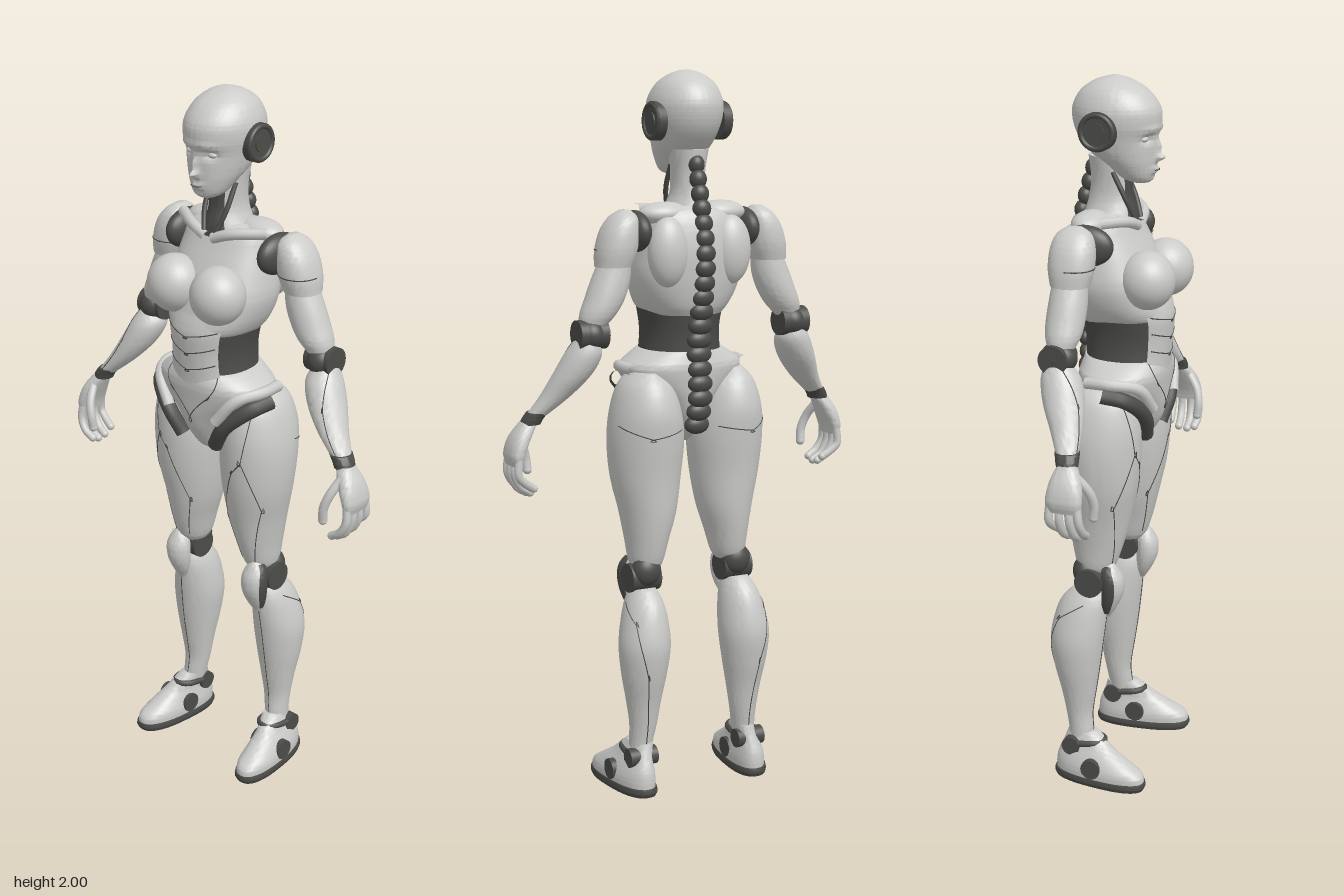
import * as THREE from 'three';
import { toCreasedNormals } from 'three/addons/utils/BufferGeometryUtils.js';

const shell = new THREE.MeshStandardMaterial({ color: 0xcbcbc9 });
shell.name = 'shell grey';
const joint = new THREE.MeshStandardMaterial({ color: 0x4b4b48 });
joint.name = 'joint charcoal';

const V = (x, y, z) => new THREE.Vector3(x, y, z);
// centred section: height, half width, back z, front z
const C = (y, h, b, f) => [y, -h, h, b, f];

// Catmull-Rom interpolation of sections [y, xIn, xOut, zBack, zFront]
function sample(S, u) {
  const i = Math.min(Math.floor(u), S.length - 2), t = u - i;
  const g = k => S[Math.max(0, Math.min(S.length - 1, k))];
  const [a, b, c, d] = [g(i - 1), g(i), g(i + 1), g(i + 2)];
  return b.map((_, k) => 0.5 * (2 * b[k] + (c[k] - a[k]) * t + (2 * a[k] - 5 * b[k] + 4 * c[k] - d[k]) * t * t
    + (3 * b[k] - a[k] - 3 * c[k] + d[k]) * t * t * t));
}

// Point on a lofted surface; angle 0 is the outer side, PI/2 the front
function surf(S, u, a, s = 1, off = 0, e = 1) {
  const [y, x0, x1, z0, z1] = sample(S, u);
  const p = v => Math.sign(v) * Math.abs(v) ** e;
  return V(s * ((x0 + x1) / 2 + ((x1 - x0) / 2 + off) * p(Math.cos(a))), y, (z0 + z1) / 2 + ((z1 - z0) / 2 + off) * p(Math.sin(a)));
}

// Loft of rings, sections listed from bottom to top; a partial one makes a surface patch
function loft(S, { s = 1, e = 1, off = 0, u0 = 0, u1 = S.length - 1, a0 = 0, a1 = Math.PI * 2, n = 36, rows = 6, warp } = {}) {
  const full = a1 - a0 > 6.28, m = Math.ceil((u1 - u0) * rows), w = full ? n : n + 1;
  const pos = [], idx = [];
  const put = p => { if (warp) warp(p); pos.push(p.x, p.y, p.z); };
  for (let j = 0; j <= m; j++)
    for (let i = 0; i < w; i++) put(surf(S, u0 + (u1 - u0) * j / m, a0 + (a1 - a0) * i / n, s, off, e));
  const tri = (a, b, c) => (s > 0 ? idx.push(a, b, c) : idx.push(a, c, b));
  for (let j = 0; j < m; j++)
    for (let i = 0; i < n; i++) {
      const a = j * w + i, b = j * w + (i + 1) % w;
      tri(a, a + w, b);
      tri(b, a + w, b + w);
    }
  if (full) {
    for (const j of [0, m]) {
      const [y, x0, x1, z0, z1] = sample(S, j ? u1 : u0), k = pos.length / 3;
      put(V(s * (x0 + x1) / 2, y, (z0 + z1) / 2));
      for (let i = 0; i < n; i++) {
        const a = j * w + i, b = j * w + (i + 1) % n;
        if (j) tri(a, k, b); else tri(a, b, k);
      }
    }
  }
  const g = new THREE.BufferGeometry();
  g.setAttribute('position', new THREE.Float32BufferAttribute(pos, 3));
  g.setIndex(idx);
  return toCreasedNormals(g, 0.9);
}

const ball = (x, y, z, rx, ry = rx, rz = rx) => new THREE.SphereGeometry(1, 28, 20).scale(rx, ry, rz).translate(x, y, z);
const disc = (x, y, z, r, w) => new THREE.CylinderGeometry(r, r, w, 32).rotateZ(Math.PI / 2).translate(x, y, z);
const tube = (pts, r, n = 14, k = 10) => new THREE.TubeGeometry(new THREE.CatmullRomCurve3(pts), n, r, k);
// Thin panel line following a loft through [section, angle] pairs
const seam = (S, pts, s = 1, e = 1) => {
  const out = [];
  for (let i = 0; i < pts.length - 1; i++)
    for (let t = 0; t < 1; t += 0.1)
      out.push(surf(S, pts[i][0] + (pts[i + 1][0] - pts[i][0]) * t, pts[i][1] + (pts[i + 1][1] - pts[i][1]) * t, s, 0, e));
  return tube(out, 0.0016, out.length * 2, 4);
};

const HEAD = [C(1.722, 0.025, 0.02, 0.07), C(1.735, 0.045, -0.01, 0.082), C(1.77, 0.066, -0.055, 0.088), C(1.80, 0.079, -0.095, 0.09),
  C(1.84, 0.09, -0.127, 0.092), C(1.88, 0.099, -0.142, 0.1), C(1.92, 0.098, -0.142, 0.096), C(1.96, 0.08, -0.12, 0.066),
  C(1.985, 0.052, -0.085, 0.026), C(1.997, 0.023, -0.05, -0.01), C(2.0, 0.003, -0.032, -0.026)];
const NECK = [C(1.60, 0.085, -0.12, 0.035), C(1.64, 0.06, -0.11, 0.03), C(1.68, 0.046, -0.1, 0.018), C(1.73, 0.046, -0.095, 0.015), C(1.79, 0.055, -0.1, 0.01)];
const CHEST = [C(1.345, 0.105, -0.115, 0.12), C(1.37, 0.126, -0.128, 0.13), C(1.41, 0.146, -0.138, 0.12), C(1.46, 0.157, -0.145, 0.105), C(1.52, 0.15, -0.148, 0.08),
  C(1.58, 0.138, -0.14, 0.05), C(1.62, 0.125, -0.125, 0.03), C(1.64, 0.08, -0.105, 0.01)];
const WAIST = [C(1.18, 0.13, -0.1, 0.12), C(1.24, 0.111, -0.102, 0.123), C(1.30, 0.106, -0.105, 0.127), C(1.36, 0.116, -0.112, 0.13), C(1.41, 0.13, -0.12, 0.115)];
const PELVIS = [C(0.985, 0.012, -0.03, 0.03), C(1.01, 0.032, -0.06, 0.07), C(1.06, 0.058, -0.09, 0.105), C(1.11, 0.095, -0.105, 0.12),
  C(1.16, 0.155, -0.112, 0.125), C(1.20, 0.176, -0.115, 0.128), C(1.225, 0.15, -0.11, 0.126), C(1.245, 0.118, -0.105, 0.12)];
const THIGH = [[0.638, 0.095, 0.168, -0.08, 0.005], [0.66, 0.082, 0.178, -0.094, 0.02], [0.72, 0.066, 0.186, -0.108, 0.04], [0.8, 0.042, 0.2, -0.12, 0.06],
  [0.9, 0.026, 0.222, -0.128, 0.08], [1.0, 0.018, 0.23, -0.14, 0.088], [1.08, 0.03, 0.222, -0.145, 0.085], [1.15, 0.055, 0.2, -0.125, 0.065], [1.19, 0.1, 0.165, -0.09, 0.03]];
const KNEECAP = [[0.505, 0.14, 0.155, -0.015, 0.008], [0.54, 0.12, 0.172, -0.015, 0.03], [0.58, 0.11, 0.182, -0.015, 0.047], [0.62, 0.11, 0.184, -0.015, 0.048],
  [0.65, 0.12, 0.175, -0.015, 0.034], [0.67, 0.14, 0.155, -0.01, 0.02]];
const SHIN = [[0.09, 0.14, 0.2, -0.105, -0.04], [0.14, 0.132, 0.198, -0.108, -0.036], [0.2, 0.121, 0.2, -0.118, -0.04], [0.27, 0.11, 0.21, -0.132, -0.03],
  [0.35, 0.096, 0.224, -0.152, -0.018], [0.43, 0.086, 0.23, -0.163, -0.008], [0.5, 0.09, 0.217, -0.152, 0.0], [0.55, 0.1, 0.2, -0.132, 0.002], [0.585, 0.115, 0.18, -0.1, -0.01]];
const SOLE = [[0, 0.138, 0.24, -0.145, 0.128], [0.012, 0.134, 0.244, -0.15, 0.134], [0.024, 0.136, 0.242, -0.148, 0.132]];
const FOOT = [[0.022, 0.138, 0.24, -0.144, 0.13], [0.045, 0.137, 0.24, -0.144, 0.124], [0.07, 0.142, 0.232, -0.14, 0.085], [0.1, 0.148, 0.218, -0.128, 0.035],
  [0.125, 0.145, 0.208, -0.118, 0.005], [0.145, 0.143, 0.2, -0.112, -0.02]];
const PAD = [[1.485, 0.19, 0.287, -0.118, -0.014], [1.53, 0.174, 0.284, -0.127, -0.004], [1.58, 0.168, 0.268, -0.125, -0.005], [1.615, 0.172, 0.243, -0.112, -0.018], [1.634, 0.19, 0.215, -0.085, -0.045]];
const UPPER_ARM = [[1.325, 0.268, 0.338, -0.1, -0.035], [1.36, 0.235, 0.335, -0.115, -0.02], [1.4, 0.21, 0.32, -0.12, -0.016], [1.45, 0.193, 0.3, -0.118, -0.016], [1.51, 0.19, 0.272, -0.112, -0.022]];
const FOREARM = [[1.085, 0.415, 0.468, -0.025, 0.03], [1.14, 0.35, 0.432, -0.062, 0.024], [1.2, 0.298, 0.402, -0.098, 0.013], [1.255, 0.275, 0.375, -0.113, -0.005], [1.295, 0.29, 0.35, -0.105, -0.035]];
const WRIST = [[1.065, 0.425, 0.482, -0.022, 0.036], [1.08, 0.418, 0.476, -0.027, 0.036], [1.097, 0.405, 0.464, -0.033, 0.034]];
const PALM = [[0.955, 0.487, 0.513, -0.03, 0.058], [0.985, 0.478, 0.52, -0.036, 0.064], [1.03, 0.456, 0.508, -0.03, 0.056], [1.072, 0.434, 0.48, -0.015, 0.033]];

// Facial relief: x, y, depth, spread in x, spread in y
const RELIEF = [[0.038, 1.842, -0.013, 0.017, 0.011], [-0.038, 1.842, -0.013, 0.017, 0.011], [0, 1.79, 0.023, 0.009, 0.011], [0, 1.818, 0.013, 0.008, 0.02],
  [0.035, 1.866, 0.005, 0.03, 0.008], [-0.035, 1.866, 0.005, 0.03, 0.008], [0, 1.757, 0.009, 0.02, 0.008], [0, 1.741, -0.003, 0.02, 0.004]];
const sculptFace = p => {
  if (p.z < 0.01) return;
  const fade = Math.min(1, (p.z - 0.01) / 0.04);
  for (const [x, y, d, sx, sy] of RELIEF) p.z += fade * d * Math.exp(-(((p.x - x) / sx) ** 2) - ((p.y - y) / sy) ** 2);
};

export function createModel() {
  const model = new THREE.Group();
  model.name = 'humanoidRobot';
  const add = (name, geo, mat) => {
    const m = new THREE.Mesh(geo, mat);
    m.name = name;
    model.add(m);
  };
  const F = Math.PI / 2;

  // head and neck
  add('head', loft(HEAD, { n: 96, rows: 10, warp: sculptFace }), shell);
  add('neck', loft(NECK), shell);
  add('throat', loft(NECK, { u0: 0.2, u1: 3.6, a0: F - 0.6, a1: F + 0.6, off: 0.005, n: 12 }), joint);
  add('mouthLine', tube([V(-0.018, 1.757, 0.09), V(0, 1.757, 0.0975), V(0.018, 1.757, 0.09)], 0.0013), joint);

  // torso
  add('chest', loft(CHEST, { e: 0.85, n: 48 }), shell);
  add('waistCore', loft(WAIST, { e: 0.9, n: 48 }), joint);
  add('bellyPlate', loft(WAIST, { e: 0.9, off: 0.006, u0: 0.4, u1: 4, a0: F - 0.82, a1: F + 0.82, n: 24 }), shell);
  for (const u of [1.2, 2, 2.8])
    add('bellySeam', seam(WAIST.map(r => [r[0], r[1] - 0.006, r[2] + 0.006, r[3], r[4] + 0.006]), [[u + 0.4, F - 0.75], [u, F], [u + 0.4, F + 0.75]], 1, 0.9), joint);
  add('pelvis', loft(PELVIS, { e: 0.9, n: 48 }), shell);
  add('pelvisSeam', seam(PELVIS, [[6.8, F - 0.7], [4.5, F - 0.35], [3, F], [4.5, F + 0.35], [6.8, F + 0.7]], 1, 0.9), joint);

  // spine of stacked vertebrae, widening to the tail
  const spine = new THREE.CatmullRomCurve3([V(0, 1.75, -0.09), V(0, 1.62, -0.125), V(0, 1.5, -0.143), V(0, 1.36, -0.122), V(0, 1.25, -0.108), V(0, 1.12, -0.116), V(0, 1.04, -0.095)]);
  for (let i = 0; i < 19; i++) {
    const p = spine.getPointAt(i / 18), w = 0.023 + 0.014 * Math.min(1, i / 12);
    add('vertebra', ball(0, p.y, p.z, w, 0.026, 0.022), joint);
  }

  for (const s of [1, -1]) {
    const side = s > 0 ? 'left' : 'right';
    const part = (name, geo, mat = shell) => add(side + name, geo, mat);
    const P = (x, y, z) => V(s * x, y, z);

    // eye and ear disc
    part('Eye', ball(s * 0.037, 1.842, 0.066, 0.015, 0.009, 0.012));
    part('EarDisc', disc(s * 0.098, 1.865, -0.04, 0.052, 0.024), joint);
    part('EarRim', new THREE.TorusGeometry(0.044, 0.007, 8, 32).rotateY(F).translate(s * 0.109, 1.865, -0.04), joint);
    part('EarHub', disc(s * 0.108, 1.865, -0.04, 0.024, 0.012), joint);

    // chest, collar and shoulder blade
    part('Breast', ball(s * 0.078, 1.473, 0.092, 0.077, 0.08, 0.076));
    part('Collarbone', tube([P(0.012, 1.605, 0.04), P(0.07, 1.625, 0.03), P(0.15, 1.632, -0.02)], 0.015));
    part('Trapezius', ball(s * 0.085, 1.62, -0.065, 0.075, 0.032, 0.05));
    part('ShoulderBlade', ball(s * 0.095, 1.52, -0.11, 0.058, 0.095, 0.048));
    part('NeckTendon', tube([P(0.04, 1.75, -0.02), P(0.038, 1.68, 0.015), P(0.018, 1.61, 0.042)], 0.007), joint);

    // arm
    part('ShoulderJoint', ball(s * 0.165, 1.575, -0.05, 0.034, 0.056, 0.078), joint);
    part('ShoulderPad', loft(PAD, { s, e: 0.9 }));
    part('ShoulderSeam', seam(PAD, [[1, 0], [1, F], [1, Math.PI]], s, 0.9), joint);
    part('UpperArm', loft(UPPER_ARM, { s }));
    part('Elbow', ball(s * 0.31, 1.308, -0.07, 0.042, 0.043, 0.05), joint);
    part('ElbowDisc', disc(s * 0.31, 1.308, -0.07, 0.04, 0.082).translate(0, 0, -0.004), joint);
    part('Forearm', loft(FOREARM, { s }));
    part('ForearmSeam', seam(FOREARM, [[0.2, 1.3], [2, 1.1], [3.7, 0.6]], s), joint);
    part('Wrist', loft(WRIST, { s }), joint);
    part('Palm', loft(PALM, { s, e: 0.8 }));
    [-0.024, 0.002, 0.028, 0.051].forEach((z, i) => {
      const d = [0.02, 0.004, 0, 0.008][i];
      part('Finger', tube([P(0.5, 0.975, z), P(0.502, 0.93, z * 1.1), P(0.484, 0.89 + d, z * 1.1 + 0.003), P(0.457, 0.872 + d, z + 0.006)], 0.0115));
      part('Fingertip', ball(s * 0.457, 0.872 + d, z + 0.006, 0.0115));
    });
    part('Thumb', tube([P(0.468, 1.045, 0.035), P(0.452, 1.0, 0.066), P(0.44, 0.96, 0.075), P(0.437, 0.925, 0.072)], 0.0125));
    part('ThumbTip', ball(s * 0.437, 0.925, 0.072, 0.0125));

    // hip and thigh
    part('HipJoint', tube([P(0.19, 1.172, 0.0), P(0.165, 1.155, 0.062), P(0.105, 1.1, 0.094), P(0.06, 1.03, 0.082)], 0.022), joint);
    part('HipPlate', tube([P(0.172, 1.198, -0.05), P(0.178, 1.2, 0.02), P(0.14, 1.185, 0.088), P(0.085, 1.115, 0.112)], 0.016));
    part('Thigh', loft(THIGH, { s, n: 44 }));
    part('ThighSeam', seam(THIGH, [[1.2, 1.1], [3.5, 0.7], [5, 1.3], [7, 1.0]], s), joint);
    part('ThighInnerSeam', seam(THIGH, [[1.2, 2.1], [3, 2.2], [4.6, 1.6], [5, 1.3]], s), joint);
    part('ThighBackSeam', seam(THIGH, [[5.6, 6], [5.2, 5], [5.4, 4]], s), joint);

    // knee and shin
    part('KneeJoint', disc(s * 0.145, 0.613, -0.042, 0.041, 0.088), joint);
    part('KneeBack', ball(s * 0.142, 0.635, -0.065, 0.043, 0.045, 0.036), joint);
    part('KneeFork', loft(KNEECAP, { s, u0: 0.5, u1: 4.6, off: 0.005, a0: -0.6, a1: 0.5, n: 8 }), joint);
    part('Kneecap', loft(KNEECAP, { s }));
    part('Shin', loft(SHIN, { s, n: 44 }));
    part('ShinSeam', seam(SHIN, [[0.8, F], [6.6, F]], s), joint);
    part('CalfSeam', seam(SHIN, [[1, -F], [4, -1.3], [6, -0.7], [7, 0.2]], s), joint);

    // foot, toes turned slightly out
    const toeOut = p => { p.x += s * p.z * 0.1; };
    part('Sole', loft(SOLE, { s, e: 0.8, warp: toeOut }), joint);
    part('Foot', loft(FOOT, { s, e: 0.85, warp: toeOut }));
    part('AnkleBand', tube([P(0.135, 0.115, -0.07), P(0.145, 0.12, -0.02), P(0.172, 0.122, 0.0), P(0.198, 0.12, -0.02), P(0.208, 0.115, -0.07)], 0.009), joint);
    part('AnkleDisc', disc(s * 0.172, 0.105, -0.09, 0.027, 0.084), joint);
    part('ArchDisc', disc(s * 0.187, 0.055, -0.02, 0.029, 0.108), joint);
  }
  return model;
}
